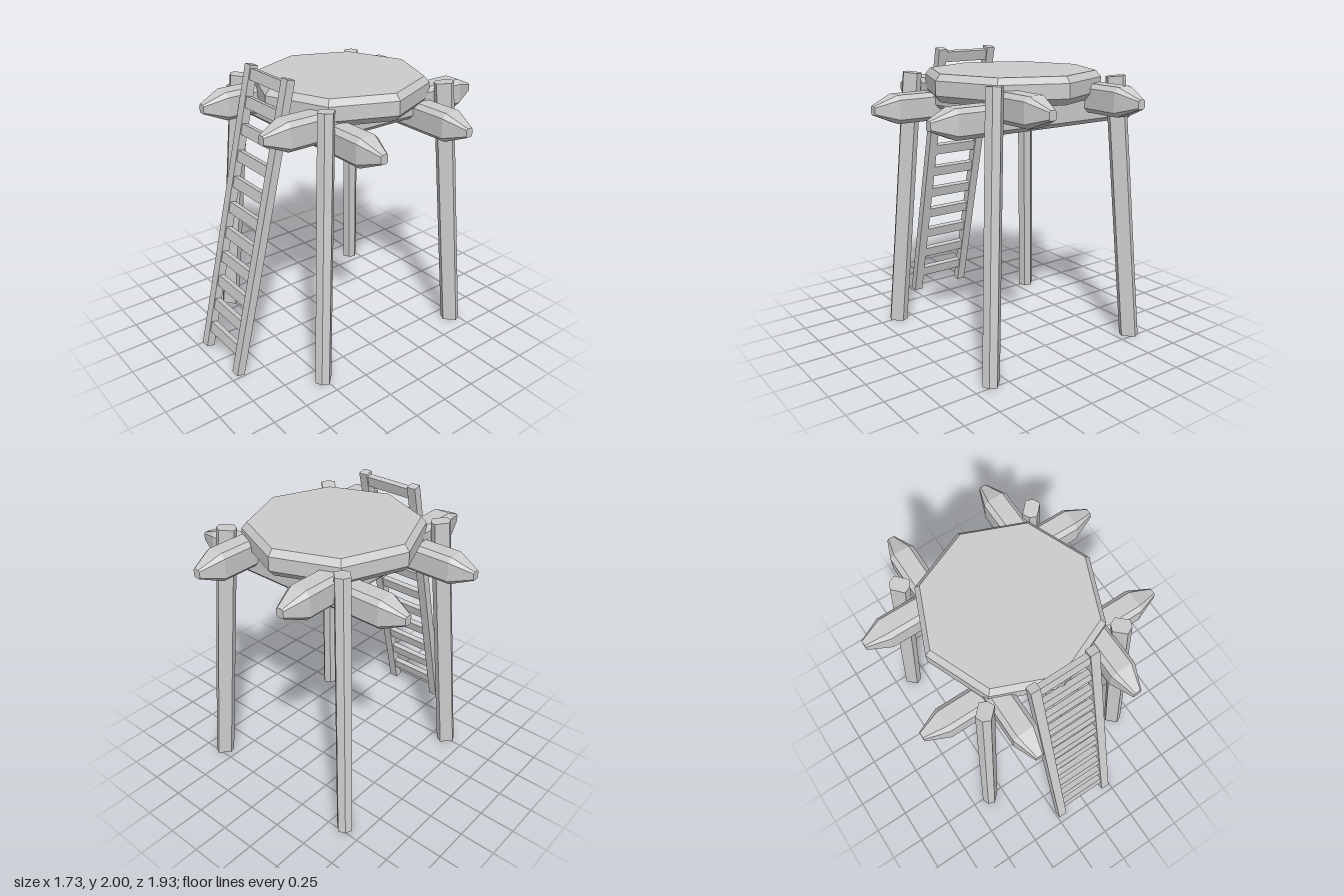
import * as THREE from 'three';

const material = new THREE.MeshStandardMaterial({ color: 0xcccccc, flatShading: true });
const CENTER_Z = -0.1; // the tower sits a little back to leave room for the ladder

function addMesh(parent, name, geometry) {
  const mesh = new THREE.Mesh(geometry, material);
  mesh.name = name;
  parent.add(mesh);
  return mesh;
}

// Closed solid through a list of rings; each ring runs counter-clockwise seen from the last one's end
function loft(rings) {
  const n = rings[0].length;
  const index = [];
  for (let k = 0; k < rings.length - 1; k++) {
    for (let i = 0; i < n; i++) {
      const a = k * n + i, b = k * n + (i + 1) % n;
      index.push(a, b, b + n, a, b + n, a + n);
    }
  }
  const last = (rings.length - 1) * n;
  for (let i = 1; i < n - 1; i++) {
    index.push(0, i + 1, i, last, last + i, last + i + 1);
  }
  const geometry = new THREE.BufferGeometry();
  geometry.setAttribute('position', new THREE.Float32BufferAttribute(rings.flat(2), 3));
  geometry.setIndex(index);
  const flat = geometry.toNonIndexed();
  flat.computeVertexNormals();
  return flat;
}

// Chamfered beam along z, tapering to a blunt point at both ends
function beamGeometry() {
  const w = 0.085, h = 0.096, c = 0.03;
  const section = [
    [w, -h + c], [w, h - c], [w - c, h], [-w + c, h],
    [-w, h - c], [-w, -h + c], [-w + c, -h], [w - c, -h],
  ];
  const stations = [[-0.866, 0.32], [-0.71, 1], [0.71, 1], [0.866, 0.32]];
  return loft(stations.map(([z, s]) => section.map(([x, y]) => [x * s, y * s, z])));
}

// Six-sided post leaning in toward the platform; its foot is level, its top square to the lean
function legGeometry() {
  const section = [
    [0, 0.066], [0.048, 0.048], [0.048, -0.048],
    [0, -0.066], [-0.048, -0.048], [-0.048, 0.048],
  ];
  const foot = section.map(([t, r]) => [t, 0, 0.858 + r]);
  const top = section.map(([t, r]) => [t, 1.85 + r * 0.09, 0.693 + r]);
  return loft([foot, top]);
}

export function createModel() {
  const model = new THREE.Group();
  model.name = 'woodenTower';

  const tower = new THREE.Group();
  tower.name = 'tower';
  tower.position.z = CENTER_Z;
  model.add(tower);

  // Octagonal platform with bevelled rims
  const profile = [
    [0, 1.703], [0.56, 1.703], [0.6, 1.748], [0.6, 1.843], [0.563, 1.885], [0, 1.885],
  ].map(([r, y]) => new THREE.Vector2(r, y));
  addMesh(tower, 'platform', new THREE.LatheGeometry(profile, 8));

  // Two pairs of crossing support beams
  const beam = beamGeometry();
  for (const side of [-1, 1]) {
    addMesh(tower, 'upperBeam', beam).position.set(side * 0.355, 1.713, 0);
    const lower = addMesh(tower, 'lowerBeam', beam);
    lower.position.set(0, 1.633, side * 0.355);
    lower.rotation.y = Math.PI / 2;
  }

  // Four splayed legs on the diagonals
  const leg = legGeometry();
  for (let i = 0; i < 4; i++) {
    addMesh(tower, 'leg', leg).rotation.y = Math.PI / 4 + (i * Math.PI) / 2;
  }

  // Ladder leaning on the front
  const ladder = new THREE.Group();
  ladder.name = 'ladder';
  ladder.position.set(0, 1, 0.697);
  ladder.rotation.x = -0.232;
  model.add(ladder);

  const rail = new THREE.BoxGeometry(0.066, 2.042, 0.058);
  for (const side of [-1, 1]) {
    addMesh(ladder, 'ladderRail', rail).position.x = side * 0.207;
  }

  const rung = new THREE.BoxGeometry(0.36, 0.075, 0.042);
  for (let i = 0; i < 11; i++) {
    addMesh(ladder, 'ladderRung', rung).position.y = (0.162 + i * 0.1775 - 1) / Math.cos(0.232);
  }

  return model;
}
